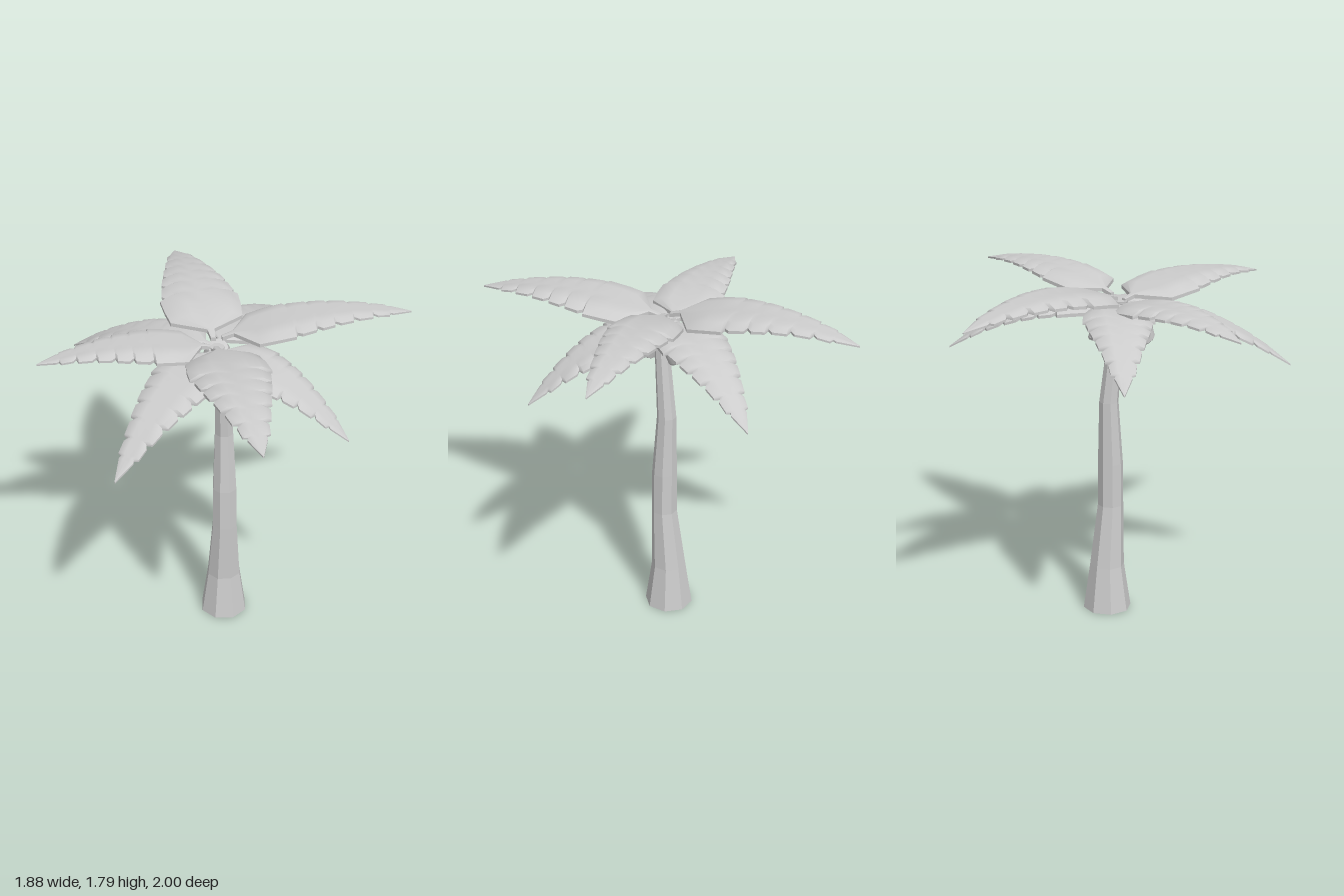
import * as THREE from 'three';
import { toCreasedNormals } from 'three/addons/utils/BufferGeometryUtils.js';

const grey = new THREE.MeshStandardMaterial({ color: 0xcccccc });
const greyFlat = new THREE.MeshStandardMaterial({ color: 0xcccccc, flatShading: true });

// Closed skin over a list of rings, each ring counter-clockwise about the travel direction.
function loft(rings) {
  const n = rings[0].length, last = (rings.length - 1) * n, index = [];
  for (let i = 0; i < rings.length - 1; i++) {
    for (let j = 0; j < n; j++) {
      const a = i * n + j, b = i * n + (j + 1) % n;
      index.push(a, b, a + n, b, b + n, a + n);
    }
  }
  for (let j = 1; j < n - 1; j++) {
    index.push(0, j + 1, j, last, last + j, last + j + 1);
  }
  const geometry = new THREE.BufferGeometry().setFromPoints(rings.flat());
  geometry.setIndex(index);
  geometry.computeVertexNormals();
  return geometry;
}

function addMesh(parent, name, geometry, material) {
  const mesh = new THREE.Mesh(geometry, material);
  mesh.name = name;
  parent.add(mesh);
  return mesh;
}

// Trunk: height, centre x, centre z, radius
const TRUNK = [
  [0, -0.018, -0.046, 0.125],
  [0.24, -0.017, -0.046, 0.09],
  [0.57, -0.017, -0.02, 0.067],
  [0.8, -0.017, -0.021, 0.065],
  [1.13, -0.017, -0.032, 0.05],
  [1.5, -0.035, 0, 0.038],
  [1.66, -0.06, 0.01, 0.036],
];

function trunkGeometry() {
  return loft(TRUNK.map(([y, cx, cz, r]) => Array.from({ length: 8 }, (_, k) => {
    const a = (k / 8) * Math.PI * 2 + 0.2;
    return new THREE.Vector3(cx + r * Math.cos(a), y, cz - r * Math.sin(a));
  })));
}

// Frond outline: fraction of length, half width (with notches along the edge)
const OUTLINE = [
  [0, 0.012], [0.06, 0.018], [0.16, 0.182], [0.25, 0.195],
  [0.345, 0.2], [0.355, 0.165], [0.38, 0.185],
  [0.455, 0.172], [0.465, 0.14], [0.49, 0.165],
  [0.555, 0.15], [0.565, 0.118], [0.59, 0.138],
  [0.66, 0.122], [0.67, 0.088], [0.695, 0.108],
  [0.77, 0.092], [0.78, 0.058], [0.8, 0.075],
  [0.865, 0.066], [0.875, 0.042], [0.89, 0.047], [1, 0.002],
];
// Gull-wing cross-section: position across, lift (as a share of half width)
const SECTION = [[-1, -0.14], [-0.75, 0], [-0.4, 0.06], [0, 0], [0.4, 0.06], [0.75, 0], [1, -0.14]];

function frondGeometry([hx, hz], [tx, tz], [y0, y1, y2], widthScale) {
  const forward = new THREE.Vector3(tx - hx, 0, tz - hz).normalize();
  const side = forward.clone().cross(new THREE.Vector3(0, 1, 0));
  return toCreasedNormals(loft(OUTLINE.map(([t, w]) => {
    // arching midrib through root, middle and tip heights
    const y = y0 * (1 - t) * (1 - 2 * t) + y1 * 4 * t * (1 - t) + y2 * t * (2 * t - 1);
    const thickness = 0.02 * (1 - 0.6 * t);
    const half = w * widthScale;
    const point = (u, lift, drop) => new THREE.Vector3(
      hx + (tx - hx) * t + side.x * u * half,
      y + lift * half - drop,
      hz + (tz - hz) * t + side.z * u * half);
    return [
      ...SECTION.map(([u, lift]) => point(u, lift, 0)),
      ...SECTION.slice().reverse().map(([u, lift]) => point(u, lift, thickness)),
    ];
  })), 0.6);
}

// Fronds: root, tip, [root, middle, tip] heights, width scale
const UPPER_FRONDS = [
  [[-0.07, -0.03], [-0.07, -1], [1.69, 1.77, 1.685], 1],
  [[-0.07, 0.02], [-0.07, 1], [1.67, 1.735, 1.66], 1],
  [[-0.03, -0.02], [0.94, -0.02], [1.7, 1.78, 1.72], 0.85],
  [[-0.08, -0.025], [-0.94, -0.06], [1.65, 1.705, 1.635], 0.85],
];
const LOWER_FRONDS = [
  [[-0.06, -0.03], [0.5, -0.64], [1.65, 1.64, 1.435], 0.88],
  [[-0.07, -0.03], [-0.69, -0.565], [1.65, 1.635, 1.43], 0.88],
  [[-0.07, 0], [-0.68, 0.595], [1.64, 1.59, 1.345], 0.88],
  [[-0.06, 0], [0.48, 0.5], [1.64, 1.59, 1.345], 0.88],
];

// Coconut: blunt barrel hung from the crown, lathe axis running from stem to end
function addCoconut(parent, top, end) {
  const from = new THREE.Vector3(...top), axis = new THREE.Vector3(...end).sub(from);
  const h = axis.length();
  const profile = [[0, 0], [0.05, 0.01], [0.068, 0.05], [0.076, h * 0.6], [0.073, h - 0.008], [0.064, h], [0, h]]
    .map(([r, y]) => new THREE.Vector2(r, y));
  const geometry = toCreasedNormals(new THREE.LatheGeometry(profile, 12), 0.7);
  const coconut = addMesh(parent, 'coconut', geometry, grey);
  coconut.position.copy(from);
  coconut.quaternion.setFromUnitVectors(new THREE.Vector3(0, 1, 0), axis.normalize());
}

export function createModel() {
  const palm = new THREE.Group();
  palm.name = 'palmTree';
  addMesh(palm, 'trunk', trunkGeometry(), greyFlat);

  const crown = new THREE.Group();
  crown.name = 'crown';
  palm.add(crown);
  for (const frond of UPPER_FRONDS) addMesh(crown, 'upperFrond', frondGeometry(...frond), grey);
  for (const frond of LOWER_FRONDS) addMesh(crown, 'lowerFrond', frondGeometry(...frond), grey);

  const coconuts = new THREE.Group();
  coconuts.name = 'coconuts';
  palm.add(coconuts);
  addCoconut(coconuts, [-0.09, 1.64, 0.04], [-0.098, 1.44, 0.118]);
  addCoconut(coconuts, [-0.05, 1.65, -0.015], [-0.042, 1.455, -0.108]);
  return palm;
}
